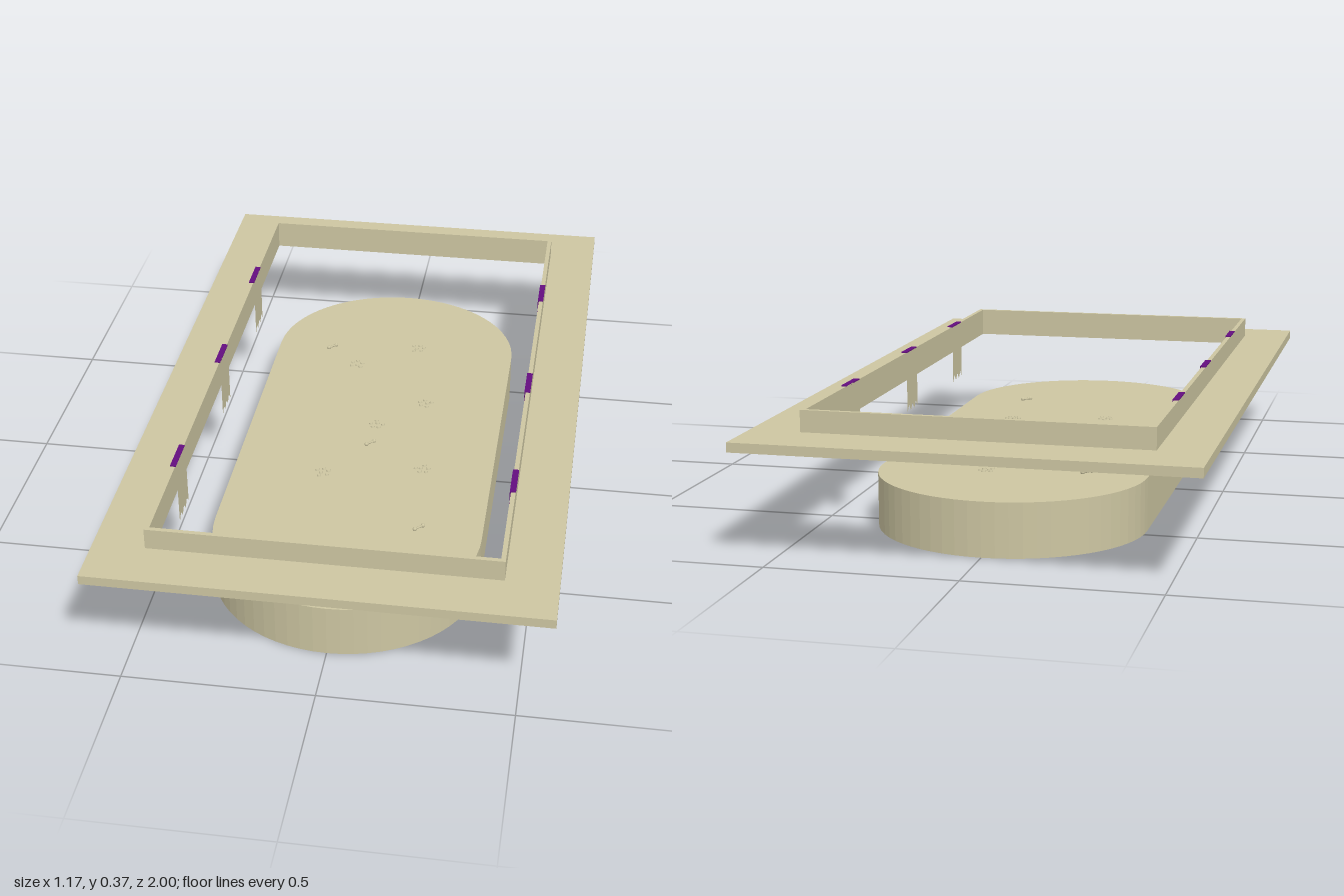
import * as THREE from 'three';

const tan = new THREE.MeshStandardMaterial({ color: 0xcdc6a2 });
tan.name = 'sand';
const purple = new THREE.MeshStandardMaterial({ color: 0x640e80 });
purple.name = 'purple';

const LIP = { x: 0.45, z: 0.858, cz: 0.0075, wall: 0.012 };
const TOP = 0.145; // top of the base

function add(parent, name, geometry, material, x = 0, y = 0, z = 0) {
  const mesh = new THREE.Mesh(geometry, material);
  mesh.name = name;
  mesh.position.set(x, y, z);
  parent.add(mesh);
  return mesh;
}

function rectPath(path, hx, hz, cz = 0) {
  path.moveTo(-hx, -hz - cz);
  path.lineTo(hx, -hz - cz);
  path.lineTo(hx, hz - cz);
  path.lineTo(-hx, hz - cz);
  path.closePath();
  return path;
}

// Plan shapes use (x, -z) and are extruded upwards
function upright(shape, height) {
  const g = new THREE.ExtrudeGeometry(shape, { depth: height, bevelEnabled: false, curveSegments: 16 });
  return g.rotateX(-Math.PI / 2);
}

function ring(hx, hz, cz, height) {
  const shape = rectPath(new THREE.Shape(), hx, hz, cz);
  shape.holes.push(rectPath(new THREE.Path(), LIP.x - LIP.wall, LIP.z - LIP.wall, LIP.cz));
  return upright(shape, height);
}

// Hanging strip with a zigzag lower edge
function ribbonShape(width, bottom, top, points) {
  const s = new THREE.Shape();
  const h = width / 2;
  s.moveTo(h, top);
  s.lineTo(-h, top);
  const steps = (points - 1) * 2;
  for (let i = 0; i <= steps; i++) {
    s.lineTo(-h + (width * i) / steps, bottom + (i % 2 ? 0.02 : 0));
  }
  s.closePath();
  return s;
}

export function createModel() {
  const model = new THREE.Group();
  model.name = 'framedBase';

  // Long base with rounded ends
  const plan = new THREE.Shape();
  plan.moveTo(0.362, -0.49);
  plan.lineTo(0.362, 0.46);
  plan.absellipse(0, 0.46, 0.362, 0.34, 0, Math.PI, false);
  plan.lineTo(-0.362, -0.49);
  plan.absellipse(0, -0.49, 0.362, 0.345, Math.PI, Math.PI * 2, false);
  add(model, 'base', upright(plan, TOP), tan);

  // Floating frame and its raised lip
  add(model, 'frame', ring(0.585, 1, 0, 0.025), tan, 0, 0.285, 0);
  add(model, 'lip', ring(LIP.x, LIP.z, LIP.cz, 0.057), tan, 0, 0.31, 0);

  // Ribbons folded over the lip, three on each long side
  const ribbonGeo = new THREE.ShapeGeometry(ribbonShape(0.1, 0.19, 0.369, 4));
  const foldGeo = new THREE.BoxGeometry(0.016, 0.003, 0.1);
  const rows = [[1, [0.522, 0.036, -0.488]], [-1, [0.535, 0.004, -0.476]]];
  for (const [side, zs] of rows) {
    for (const z of zs) {
      const ribbon = new THREE.Group();
      ribbon.name = side > 0 ? 'leftRibbon' : 'rightRibbon';
      ribbon.position.set(side * 0.435, 0, z);
      add(ribbon, 'ribbonOutside', ribbonGeo, purple).rotation.y = (side * Math.PI) / 2;
      add(ribbon, 'ribbonInside', ribbonGeo, tan).rotation.y = (-side * Math.PI) / 2;
      add(ribbon, 'ribbonFold', foldGeo, purple, side * 0.008, 0.3685, 0);
      model.add(ribbon);
    }
  }

  // Flat clusters of pebbles scattered on the base
  const pebble = new THREE.CylinderGeometry(0.005, 0.007, 0.005, 6);
  const offsets = [[-0.015, -0.012], [0.004, -0.016], [0.016, -0.004], [-0.006, 0.003], [0.01, 0.013], [-0.012, 0.016]];
  const clusters = [[0.07, -0.48], [-0.105, -0.36], [0.13, -0.165], [0.003, -0.03], [0.165, 0.18], [-0.11, 0.235]];
  clusters.forEach(([cx, cz], i) => {
    const cluster = new THREE.Group();
    cluster.name = 'pebbleCluster';
    cluster.position.set(cx, TOP + 0.0015, cz);
    cluster.rotation.y = i * 1.3;
    for (const [x, z] of offsets) add(cluster, 'pebble', pebble, tan, x, 0, z);
    model.add(cluster);
  });

  // Small bars with knobbed ends
  const shaft = new THREE.CylinderGeometry(0.003, 0.003, 0.028, 6).rotateZ(Math.PI / 2);
  const knob = new THREE.SphereGeometry(0.006, 8, 6);
  for (const [x, z] of [[-0.197, -0.45], [0, 0.072], [0.19, 0.46]]) {
    const bar = new THREE.Group();
    bar.name = 'knobbedBar';
    bar.position.set(x, TOP + 0.004, z);
    bar.rotation.y = Math.PI / 4;
    add(bar, 'barShaft', shaft, tan);
    for (const end of [-1, 1]) add(bar, 'barKnob', knob, tan, end * 0.014, 0, 0);
    model.add(bar);
  }

  return model;
}
